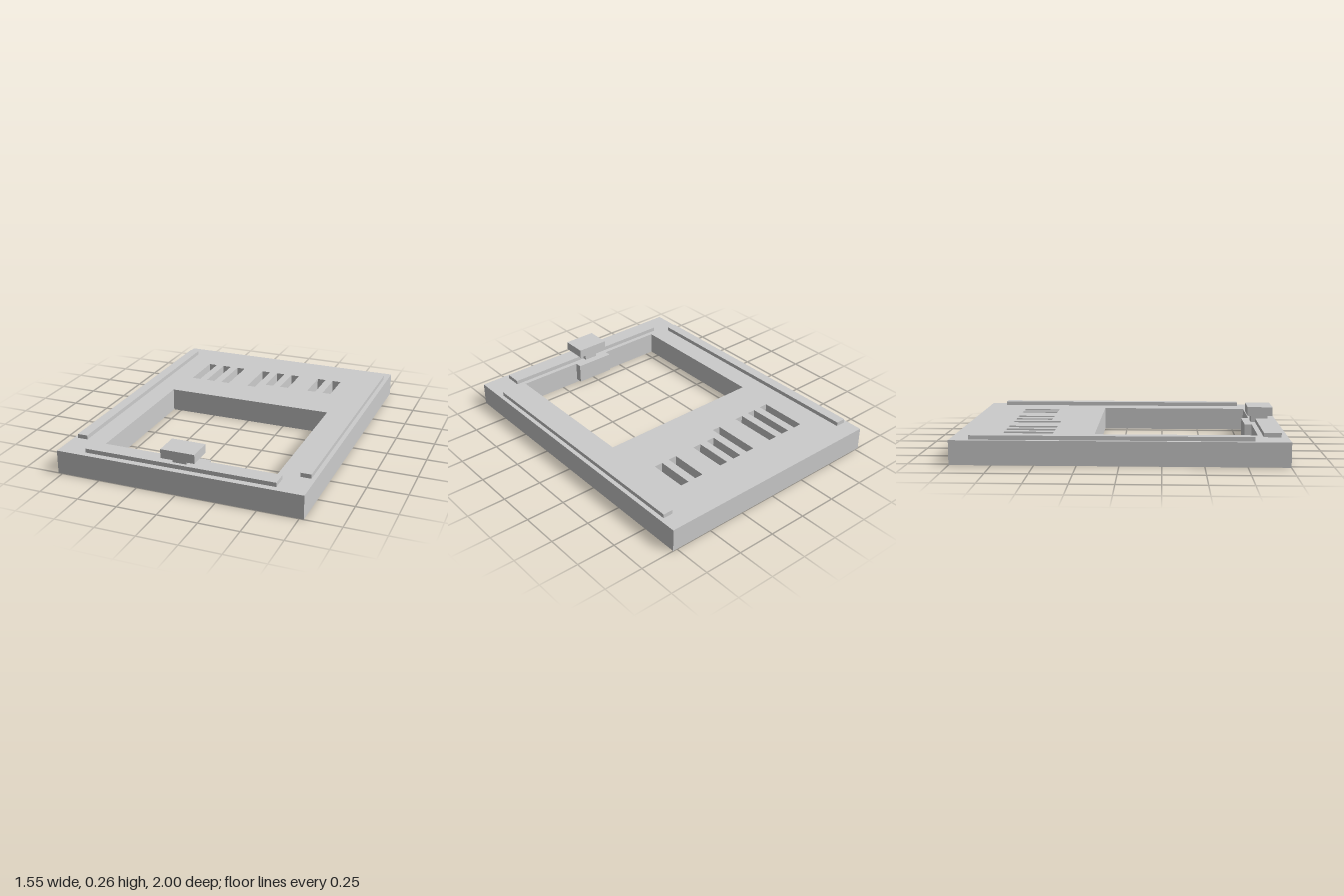
import * as THREE from 'three';

export function createModel() {
  const group = new THREE.Group();
  const grey = new THREE.MeshStandardMaterial({ color: 0xcccccc });
  grey.name = 'grey';

  const add = (name, geometry) => {
    const mesh = new THREE.Mesh(geometry, grey);
    mesh.name = name;
    group.add(mesh);
  };

  // Box given by its limits on each axis
  const box = (name, x0, x1, y0, y1, z0, z1) => add(name,
    new THREE.BoxGeometry(x1 - x0, y1 - y0, z1 - z0)
      .translate((x0 + x1) / 2, (y0 + y1) / 2, (z0 + z1) / 2));

  // Closed outline from [x, z] points; the shape is laid flat after extruding
  const outline = (points, Type = THREE.Path) =>
    new Type(points.map(([x, z]) => new THREE.Vector2(x, -z)));
  // Counter-clockwise, so that the extrusion turns the hole walls inward
  const rect = (x0, x1, z0, z1, Type) =>
    outline([[x0, z1], [x1, z1], [x1, z0], [x0, z0]], Type);

  const TOP = 0.148, STEP = 0.11, RAIL = 0.174;
  const windowX = 0.553, windowBack = -0.157, windowFront = 0.825;

  // Vent slots: [right edge, front end]
  const slots = [
    [-0.523, -0.412], [-0.413, -0.412], [-0.303, -0.412], [-0.106, -0.412],
    [0.005, -0.477], [0.115, -0.477], [0.313, -0.477], [0.423, -0.477],
  ];

  function plateLayer(name, y0, y1, windowPath, extraHoles) {
    const shape = rect(-0.777, 0.777, -1, 1, THREE.Shape);
    shape.holes.push(windowPath, ...extraHoles);
    for (const [x, end] of slots) shape.holes.push(rect(x, x + 0.057, -0.72, end));
    const geometry = new THREE.ExtrudeGeometry(shape,
      { depth: y1 - y0, bevelEnabled: false, curveSegments: 16 });
    add(name, geometry.rotateX(-Math.PI / 2).translate(0, y0, 0));
  }

  // Lower layer has blind screw holes and the latch pocket
  const pocketX = 0.108, pocketFront = 0.944;
  const notchedWindow = outline([
    [-windowX, windowBack], [windowX, windowBack], [windowX, windowFront],
    [pocketX, windowFront], [pocketX, pocketFront], [-pocketX, pocketFront],
    [-pocketX, windowFront], [-windowX, windowFront],
  ]);
  const screwHoles = [-0.61, 0.61].map((x) =>
    new THREE.Path().absarc(x, 0.43, 0.025, 0, Math.PI * 2));
  plateLayer('lowerPlate', 0, STEP, notchedWindow, screwHoles);
  plateLayer('upperPlate', STEP, TOP, rect(-windowX, windowX, windowBack, windowFront), []);

  // Raised rails on the top face
  box('rightRail', -0.753, -0.688, TOP, RAIL, -0.885, 0.792);
  box('leftRail', 0.685, 0.75, TOP, RAIL, -0.885, 0.792);
  box('frontRail', -0.604, 0.6, TOP, RAIL, 0.855, 0.96);

  // Sliding latch: tab inside the window, stem and knob
  box('latchTab', -0.13, 0.13, 0.022, TOP, 0.78, windowFront);
  box('latchStem', -0.045, 0.045, TOP, 0.2, 0.828, 0.935);
  box('latchKnob', -0.108, 0.106, 0.2, 0.256, 0.80, 0.96);

  return group;
}
